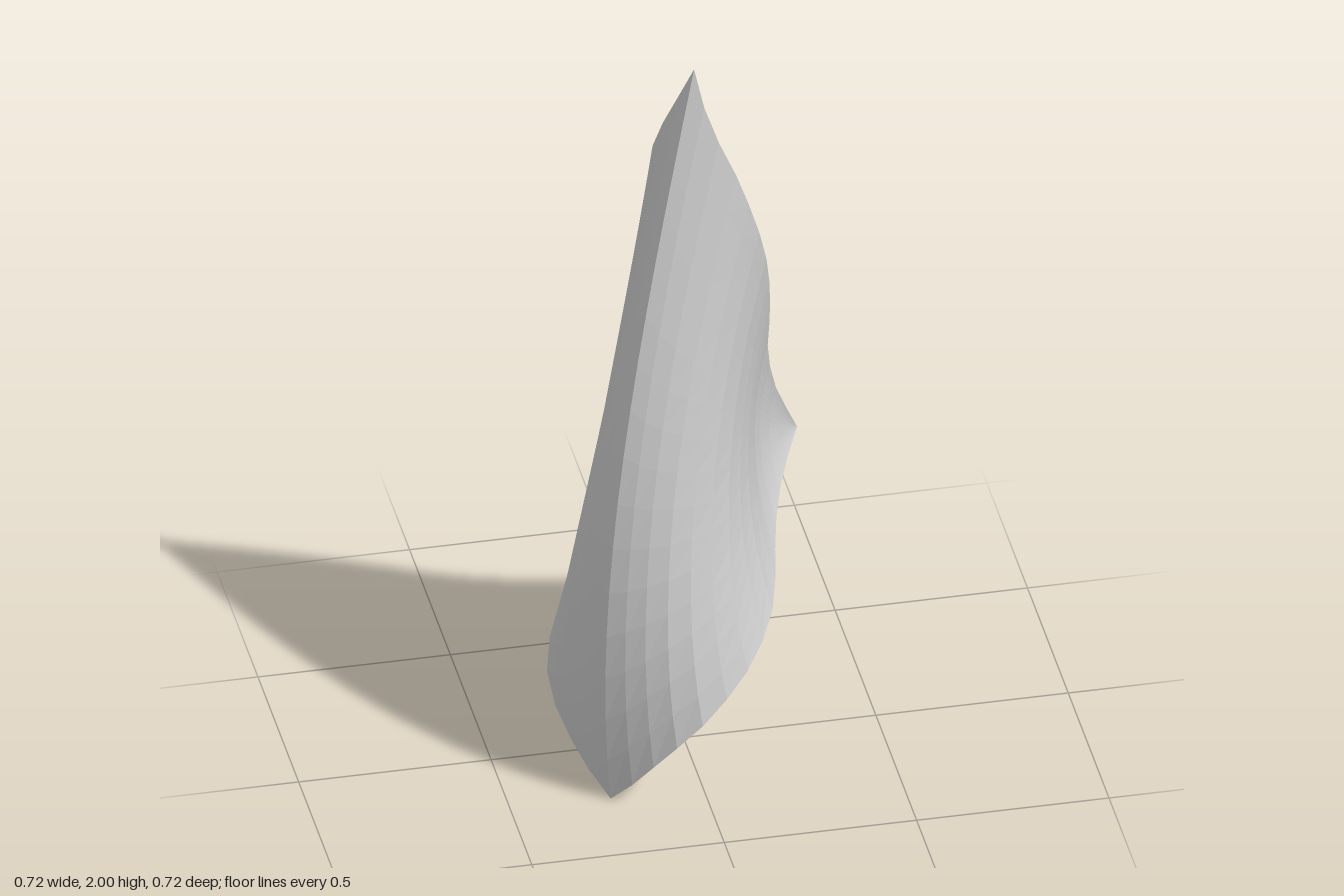
import * as THREE from 'three';

const v3 = (p) => new THREE.Vector3(...p);

// Half outlines of the curled sheet, from the spine to the side corner
const lowerEdge = new THREE.CatmullRomCurve3([
  [-0.24, 0, 0.24], [-0.19, 0.07, 0.29], [-0.12, 0.17, 0.34], [-0.06, 0.235, 0.36],
  [0, 0.29, 0.355], [0.11, 0.385, 0.295], [0.19, 0.46, 0.18], [0.218, 0.505, 0.097],
  [0.234, 0.54, 0.02], [0.262, 0.595, -0.09], [0.302, 0.645, -0.195], [0.36, 0.7, -0.305],
].map(v3));
const upperEdge = new THREE.CatmullRomCurve3([
  [0.035, 2, -0.035], [0.06, 1.88, 0.015], [0.1, 1.78, 0.045], [0.135, 1.7, 0.055],
  [0.168, 1.6, 0.05], [0.2, 1.49, 0.033], [0.222, 1.38, -0.005], [0.243, 1.2, -0.085],
  [0.252, 1.05, -0.155], [0.285, 0.89, -0.225], [0.36, 0.7, -0.305],
].map(v3));

// Axes of the mirror plane: back along the plane, side across it
const back = v3([1, 0, -1]).normalize();
const side = v3([1, 0, 1]).normalize();

// Point on the half sheet: u from spine to corner, v from lower to upper edge
function sheetPoint(u, v) {
  const p = lowerEdge.getPointAt(u).lerp(upperEdge.getPointAt(u), v);
  const arch = v * (1 - v);
  p.addScaledVector(back, -0.54 * arch * (1.3 - 0.6 * v) * (1 - u) ** 2); // spine bows out
  p.addScaledVector(side, -0.22 * arch * Math.sin(Math.PI * u)); // flanks pinch in
  return p;
}

function sheetGeometry(columns, rows) {
  const positions = [];
  const indices = [];
  for (let i = -columns; i <= columns; i++) {
    for (let j = 0; j <= rows; j++) {
      const p = sheetPoint(Math.abs(i) / columns, j / rows);
      // the other half swaps x and z across the mirror plane
      if (i < 0) positions.push(-p.z, p.y, -p.x);
      else positions.push(p.x, p.y, p.z);
    }
  }
  const stride = rows + 1;
  for (let i = 0; i < 2 * columns; i++) {
    for (let j = 0; j < rows; j++) {
      const a = i * stride + j;
      const b = a + stride;
      // columns shrink to a point at both corners
      indices.push(a, b, b + 1, a, b + 1, a + 1);
    }
  }
  const geometry = new THREE.BufferGeometry();
  geometry.setAttribute('position', new THREE.Float32BufferAttribute(positions, 3));
  geometry.setIndex(indices);
  geometry.computeVertexNormals();
  return geometry;
}

export function createModel() {
  const group = new THREE.Group();
  group.name = 'curledSheet';
  const material = new THREE.MeshStandardMaterial({
    color: 0xcccccc, flatShading: true, side: THREE.DoubleSide,
  });
  const sheet = new THREE.Mesh(sheetGeometry(14, 16), material);
  sheet.name = 'sheet';
  group.add(sheet);
  return group;
}
